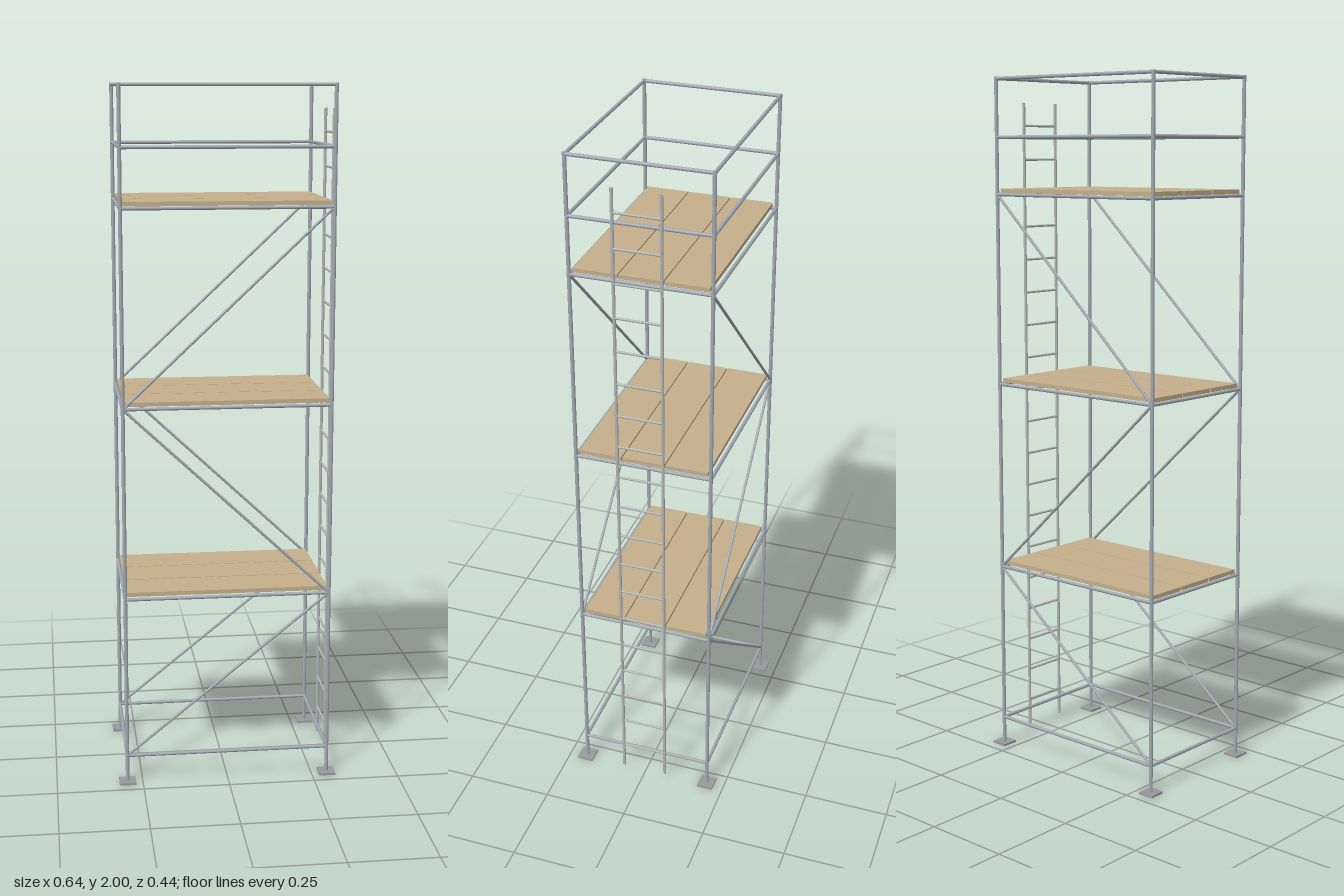
import * as THREE from 'three';

const X = 0.2946, Z = 0.1965;             // post positions
const BASE_Y = 0.083;                      // lowest ledger height
const LEVELS = [0.559, 1.113, 1.667];      // deck ledger heights
const TUBE_R = 0.005;

const material = (name, color) => {
  const m = new THREE.MeshStandardMaterial({ color });
  m.name = name;
  return m;
};

export function createModel() {
  const model = new THREE.Group();
  model.name = 'scaffoldTower';
  const steel = material('galvanised steel', 0xa0a8b0);
  const ladderMetal = material('ladder metal', 0xb0b5b2);
  const plateMetal = material('base plate grey', 0x97999a);
  const wood = material('plank wood', 0xc4ae8c);

  const section = (name) => {
    const g = new THREE.Group();
    g.name = name;
    model.add(g);
    return g;
  };

  // Round bar between two points
  const bar = (parent, name, a, b, r, mat) => {
    const start = new THREE.Vector3(...a), end = new THREE.Vector3(...b);
    const dir = end.clone().sub(start);
    const mesh = new THREE.Mesh(new THREE.CylinderGeometry(r, r, dir.length(), 12), mat);
    mesh.position.copy(start).add(end).multiplyScalar(0.5);
    mesh.quaternion.setFromUnitVectors(new THREE.Vector3(0, 1, 0), dir.normalize());
    mesh.name = name;
    parent.add(mesh);
  };

  const box = (parent, name, size, pos, mat) => {
    const mesh = new THREE.Mesh(new THREE.BoxGeometry(...size), mat);
    mesh.position.set(...pos);
    mesh.name = name;
    parent.add(mesh);
  };

  // Rectangle of tubes around the tower at one height
  const ring = (parent, name, y) => {
    for (const s of [-1, 1]) {
      bar(parent, name, [-X, y, s * Z], [X, y, s * Z], TUBE_R, steel);
      bar(parent, name, [s * X, y, -Z], [s * X, y, Z], TUBE_R, steel);
    }
  };

  // Corner posts on base plates
  const posts = section('posts');
  for (const sx of [-1, 1]) for (const sz of [-1, 1]) {
    bar(posts, 'post', [sx * X, 0, sz * Z], [sx * X, 2, sz * Z], 0.0055, steel);
    box(posts, 'basePlate', [0.048, 0.006, 0.048], [sx * X, 0.003, sz * Z], plateMetal);
  }

  // Ledgers and guard rails
  const rails = section('rails');
  for (const y of [BASE_Y, ...LEVELS]) ring(rails, 'ledger', y);
  for (const y of [1.83, 1.995]) ring(rails, 'guardRail', y);

  // Three planks on each deck
  const decks = section('decks');
  for (const y of LEVELS) for (const i of [-1, 0, 1]) {
    box(decks, 'plank', [0.582, 0.012, 0.122], [0, y + 0.011, i * 0.1255], wood);
  }

  // Zigzag braces on the front and back
  const braces = section('braces');
  const nodes = [BASE_Y, ...LEVELS];
  for (const z of [-Z, Z]) for (let i = 0; i < 3; i++) {
    const s = i % 2 ? 1 : -1;
    bar(braces, 'brace', [s * X, nodes[i], z], [-s * X, nodes[i + 1], z], 0.004, steel);
  }

  // Ladder beside the left end
  const ladder = section('ladder');
  const LX = 0.3138, LZ = 0.066;
  for (const z of [-LZ, LZ]) {
    bar(ladder, 'ladderRail', [LX, 0.018, z], [LX, 1.93, z], 0.0045, ladderMetal);
  }
  for (let i = 0; i < 19; i++) {
    const y = 0.1 + i * 0.098;
    bar(ladder, 'rung', [LX, y, -LZ], [LX, y, LZ], 0.0035, ladderMetal);
  }

  return model;
}
